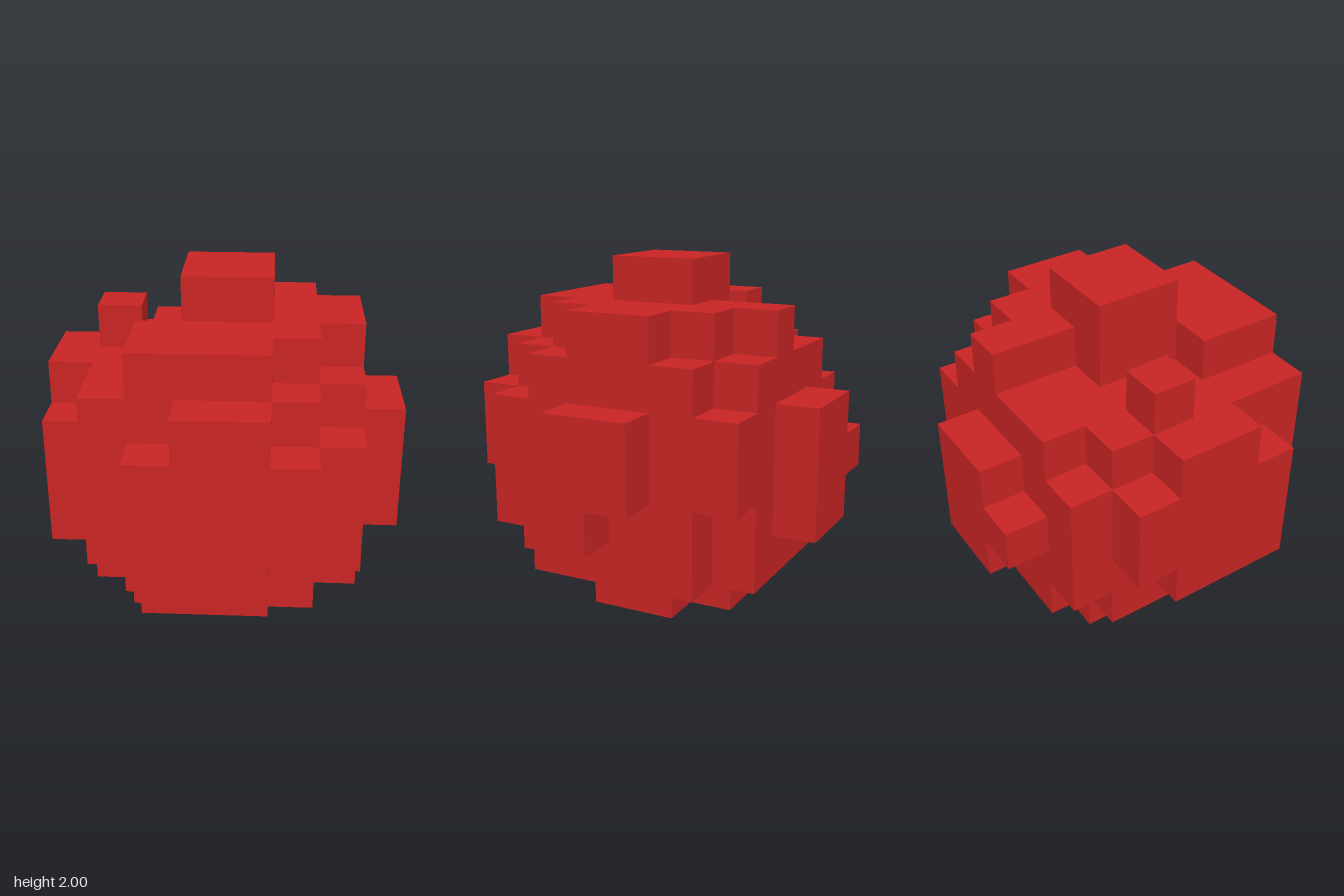
import * as THREE from 'three';
import { mergeGeometries } from 'three/addons/utils/BufferGeometryUtils.js';

const CELL = 0.25; // the model sits on an 8 x 8 x 8 grid of cubes

// Cells are given as inclusive index ranges: x0, x1, y0, y1, z0, z1
const core = [[1, 6, 1, 6, 1, 6]];

// Cells cut out of the core's edges and corners
const cuts = [
  // bottom corners
  [1, 1, 1, 1, 1, 1], [1, 1, 1, 1, 6, 6], [6, 6, 1, 2, 1, 1], [6, 6, 1, 1, 6, 6],
  // upper corners
  [1, 1, 5, 5, 1, 1], [6, 6, 5, 5, 1, 1], [6, 6, 5, 5, 6, 6],
  // top layer
  [1, 3, 6, 6, 1, 2], [5, 6, 6, 6, 1, 1], [6, 6, 6, 6, 2, 2], [2, 2, 6, 6, 3, 3],
  [1, 2, 6, 6, 4, 4], [1, 1, 6, 6, 5, 6], [6, 6, 6, 6, 5, 6], [5, 5, 6, 6, 6, 6],
];

// Raised patches, one cell thick, on each side of the core
const patches = {
  topPatch: [[3, 4, 7, 7, 3, 4]],
  bottomPatch: [[2, 4, 0, 0, 2, 5], [5, 5, 0, 0, 3, 4]],
  frontPatch: [[2, 2, 2, 4, 7, 7], [3, 4, 2, 5, 7, 7], [5, 5, 3, 4, 7, 7]],
  backPatch: [[3, 4, 2, 4, 0, 0], [2, 2, 3, 3, 0, 0]],
  leftPatch: [[7, 7, 3, 4, 3, 3], [7, 7, 2, 4, 4, 4]],
  rightPatch: [[0, 0, 3, 4, 2, 2], [0, 0, 2, 5, 3, 4], [0, 0, 2, 4, 5, 5]],
};

const key = (x, y, z) => `${x},${y},${z}`;

function eachCell([x0, x1, y0, y1, z0, z1], visit) {
  for (let x = x0; x <= x1; x++)
    for (let y = y0; y <= y1; y++)
      for (let z = z0; z <= z1; z++) visit(x, y, z);
}

// One square face for each of the six directions
const faces = [
  [1, 0, 0], [-1, 0, 0], [0, 1, 0], [0, -1, 0], [0, 0, 1], [0, 0, -1],
].map((dir) => {
  const normal = new THREE.Vector3(...dir);
  const turn = new THREE.Quaternion().setFromUnitVectors(new THREE.Vector3(0, 0, 1), normal);
  const square = new THREE.PlaneGeometry(CELL, CELL)
    .applyQuaternion(turn)
    .translate(...normal.clone().multiplyScalar(CELL / 2).toArray());
  return { dir, square };
});

export function createModel() {
  const group = new THREE.Group();
  group.name = 'blockBall';

  const red = new THREE.MeshStandardMaterial({ color: 0xc82424 });
  red.name = 'red';

  // Fill the grid, remembering which part each cell belongs to
  const grid = new Map();
  const fill = (boxes, part) =>
    boxes.forEach((b) => eachCell(b, (x, y, z) => grid.set(key(x, y, z), { part, x, y, z })));
  fill(core, 'core');
  cuts.forEach((b) => eachCell(b, (x, y, z) => grid.delete(key(x, y, z))));
  for (const [part, boxes] of Object.entries(patches)) fill(boxes, part);

  // Keep only the faces that touch empty space
  const pieces = {};
  for (const { part, x, y, z } of grid.values()) {
    for (const { dir, square } of faces) {
      if (grid.has(key(x + dir[0], y + dir[1], z + dir[2]))) continue;
      const face = square.clone().translate((x - 3.5) * CELL, (y + 0.5) * CELL, (z - 3.5) * CELL);
      (pieces[part] ??= []).push(face);
    }
  }

  for (const [part, list] of Object.entries(pieces)) {
    const mesh = new THREE.Mesh(mergeGeometries(list), red);
    mesh.name = part;
    group.add(mesh);
  }
  return group;
}
